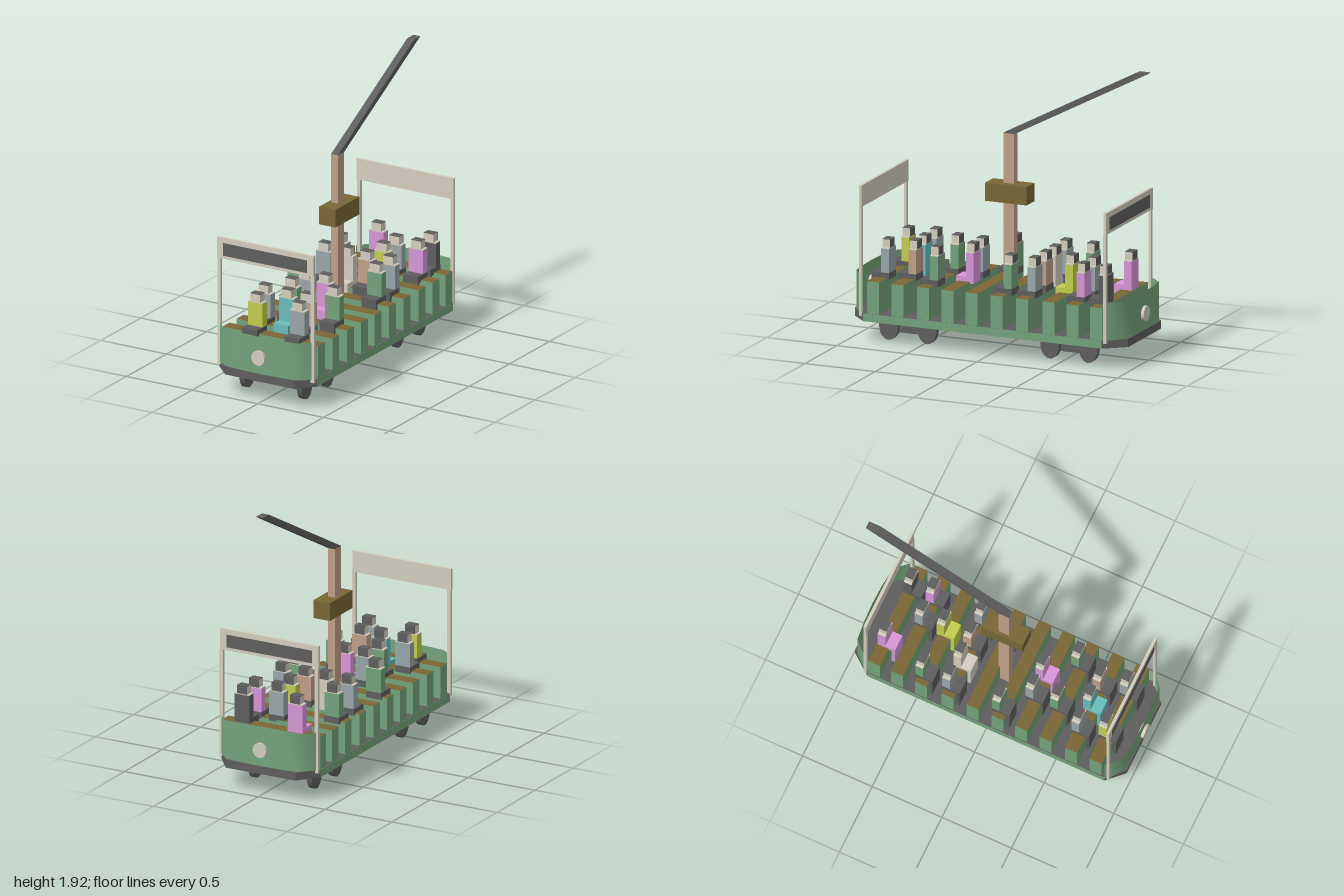
import * as THREE from 'three';

const mat = (name, color) => {
  const m = new THREE.MeshStandardMaterial({ color });
  m.name = name;
  return m;
};

export function createModel() {
  const green = mat('green paint', 0x74a37b), dark = mat('dark grey', 0x5e5e5f);
  const cream = mat('cream', 0xd4cebf), wood = mat('wood', 0x796636);
  const brown = mat('light brown', 0xc0a089), grey = mat('blue grey', 0x9aa6a9);
  const pink = mat('pink', 0xd896d8), yellow = mat('yellow', 0xc2cf4c), cyan = mat('cyan', 0x68bebe);
  green.side = THREE.DoubleSide;

  const tram = new THREE.Group();
  tram.name = 'openTram';

  const add = (parent, name, geo, material) => {
    const m = new THREE.Mesh(geo, material);
    m.name = name;
    parent.add(m);
    return m;
  };
  // box given by its low and high corners
  const box = (parent, name, [x0, x1], [y0, y1], [z0, z1], material) => {
    const m = add(parent, name, new THREE.BoxGeometry(x1 - x0, y1 - y0, z1 - z0), material);
    m.position.set((x0 + x1) / 2, (y0 + y1) / 2, (z0 + z1) / 2);
    return m;
  };
  // flat slab from an x, z outline
  const slab = (name, outline, y0, y1, material) => {
    const shape = new THREE.Shape(outline.map(([x, z]) => new THREE.Vector2(x, -z)));
    const g = new THREE.ExtrudeGeometry(shape, { depth: y1 - y0, bevelEnabled: false });
    add(tram, name, g.rotateX(-Math.PI / 2), material).position.y = y0;
  };

  // thin floor between hanging side sills, with solid chamfered ends
  box(tram, 'floor', [-0.368, 0.368], [0.186, 0.201], [-0.83, 0.87], dark);
  slab('frontEnd', [[-0.37, 0.87], [-0.26, 0.98], [0.26, 0.98], [0.37, 0.87]], 0.147, 0.201, dark);
  slab('backEnd', [[0.37, -0.83], [0.26, -0.97], [-0.26, -0.97], [-0.37, -0.83]], 0.147, 0.201, dark);
  for (const s of [-1, 1])
    box(tram, 'sill', [s * 0.365 - 0.005, s * 0.365 + 0.005], [0.147, 0.2], [-0.83, 0.87], green);

  // curved end aprons, headlamps and end frames
  const apron = (name, pts) => {
    const pos = [], idx = [];
    pts.forEach(([x, z], i) => {
      pos.push(x, 0.2, z, x, 0.457, z);
      if (i) idx.push(2 * i - 2, 2 * i, 2 * i - 1, 2 * i, 2 * i + 1, 2 * i - 1);
    });
    const g = new THREE.BufferGeometry();
    g.setAttribute('position', new THREE.Float32BufferAttribute(pos, 3));
    g.setIndex(idx);
    g.computeVertexNormals();
    add(tram, name, g, green);
  };
  for (const [s, side, tip, edge, frameZ] of [[1, 'front', 0.982, 0.873, 0.893], [-1, 'back', 0.967, 0.835, 0.85]]) {
    const half = [[0.37, edge], [0.345, edge + 0.035], [0.27, tip - 0.018], [0.14, tip - 0.005]];
    const curve = [...half.map(([x, z]) => [-x, z]), [0, tip], ...half.slice().reverse()];
    apron(side + 'Apron', curve.map(([x, z]) => [s * x, s * z]));

    const lamp = add(tram, side + 'Headlamp', new THREE.CylinderGeometry(0.05, 0.05, 0.04, 20), cream);
    lamp.rotation.x = Math.PI / 2;
    lamp.position.set(0, 0.313, s * (tip - 0.001));

    const z = [s * frameZ - 0.01, s * frameZ + 0.01];
    for (const p of [-1, 1])
      box(tram, side + 'Post', [p * 0.355 - 0.012, p * 0.355 + 0.012], [0.18, 0.915], z, cream);
    box(tram, side + 'Board', [-0.37, 0.366], [0.912, 1.056], z, cream);
    const outer = s * (frameZ + 0.0105);
    box(tram, side + 'SignPanel', [-0.324, 0.314], [0.933, 1.02], [outer - 0.0015, outer + 0.0015], dark);
  }

  // centre mast, wooden block and slanted collector arm
  box(tram, 'mast', [-0.034, 0.018], [0.168, 1.42], [-0.047, 0.028], brown);
  box(tram, 'mastBlock', [-0.058, 0.066], [0.963, 1.085], [-0.158, 0.138], wood);
  const armShape = new THREE.Shape([[0.05, 1.42], [1.0, 1.925], [0.92, 1.925], [-0.03, 1.42]]
    .map(([x, y]) => new THREE.Vector2(x, y)));
  const armGeo = new THREE.ExtrudeGeometry(armShape, { depth: 0.052, bevelEnabled: false });
  armGeo.rotateY(Math.PI / 2);
  add(tram, 'collectorArm', armGeo, dark).position.x = -0.034;

  // bogies with tall oval wheels reaching up behind the sills
  for (const [zf, zb] of [[0.755, 0.48], [-0.395, -0.668]]) {
    const bogie = new THREE.Group();
    bogie.name = 'bogie';
    tram.add(bogie);
    box(bogie, 'bogieFrame', [-0.215, 0.195], [0.05, 0.15], [zb, zf], dark);
    for (const z of [zf, zb])
      for (const x of [-0.23, 0.207]) {
        const g = new THREE.CylinderGeometry(1, 1, 0.038, 24).rotateZ(Math.PI / 2).scale(1, 0.093, 0.067);
        add(bogie, 'wheel', g, dark).position.set(x, 0.093, z);
      }
  }

  // seated passenger: coat, lap and legs, head with hair on the top and back
  const passenger = (x, z, coat, trousers) => {
    const p = new THREE.Group();
    p.name = 'passenger';
    p.position.set(x, 0, z);
    tram.add(p);
    box(p, 'torso', [-0.055, 0.055], [0.45, 0.61], [-0.055, 0], coat);
    box(p, 'shoulders', [-0.055, 0.055], [0.61, 0.616], [-0.055, 0], cream);
    box(p, 'head', [-0.037, 0.037], [0.616, 0.67], [-0.053, 0], cream);
    box(p, 'hairTop', [-0.037, 0.037], [0.67, 0.673], [-0.055, 0], dark);
    box(p, 'hairBack', [-0.037, 0.037], [0.616, 0.67], [-0.055, -0.053], dark);
    box(p, 'lap', [-0.056, 0.056], [0.405, 0.45], [-0.055, 0.07], trousers);
    box(p, 'legs', [-0.056, 0.056], [0.225, 0.405], [0.046, 0.07], trousers);
  };

  // benches from front to back: z, shift of the riders, riders as x, coat, trousers
  const rows = [
    [0.803, 0, [[-0.14, yellow, dark], [0.18, grey, dark]]],
    [0.628, 0, [[-0.185, grey, dark], [-0.01, cyan, cyan], [0.137, brown, dark]]],
    [0.445, -0.01, [[-0.1, green, dark], [0.223, green, dark]]],
    [0.27, -0.012, [[-0.1, grey, dark], [0.05, pink, pink]]],
    [0.1, -0.002, [[-0.27, green, dark]]],
    [-0.08, -0.012, [[0.222, green, dark]]],
    [-0.26, 0, [[-0.27, grey, dark], [-0.1, cream, cream], [0.05, brown, dark], [0.222, grey, dark]]],
    [-0.45, -0.003, [[-0.27, green, dark], [0.055, yellow, yellow]]],
    [-0.622, 0.012, [[0.055, grey, dark], [0.222, pink, dark]]],
    [-0.787, 0.02, [[-0.175, pink, pink], [0.222, dark, dark]]],
  ];
  for (const [z, shift, riders] of rows) {
    box(tram, 'bench', [-0.362, 0.366], [0.2, 0.418], [z - 0.043, z + 0.043],
      [green, green, wood, green, green, green]);
    // bench feet showing below the floor
    for (const s of [-1, 1])
      box(tram, 'benchFoot', [s * 0.345 - 0.015, s * 0.345 + 0.015], [0.18, 0.2], [z - 0.043, z + 0.043], green);
    for (const [x, coat, trousers] of riders) passenger(x, z + shift, coat, trousers);
  }

  return tram;
}
